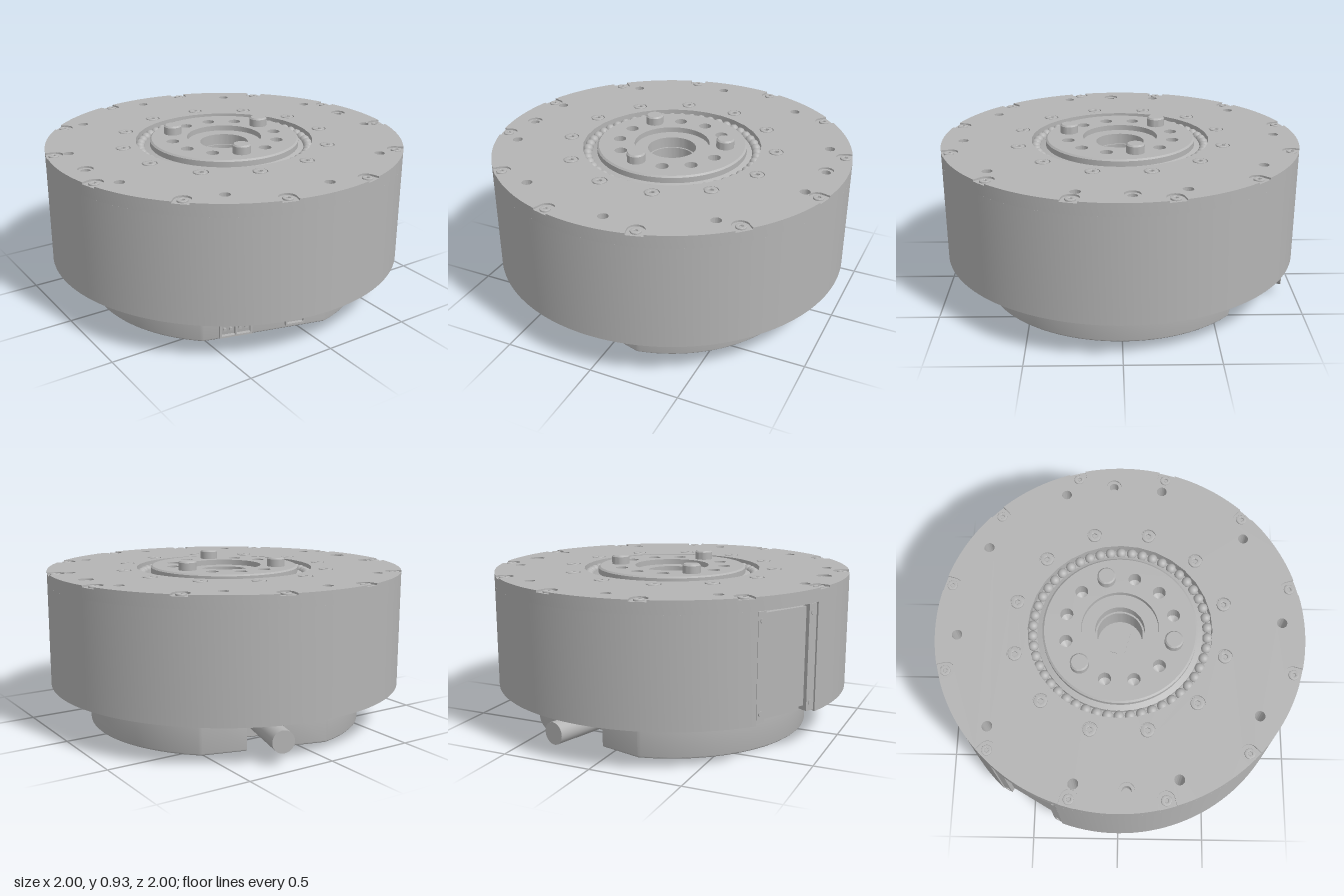
import * as THREE from 'three';
import { toCreasedNormals } from 'three/addons/utils/BufferGeometryUtils.js';

const steel = new THREE.MeshStandardMaterial({ color: 0xb4b4b4, side: THREE.DoubleSide });
steel.name = 'steel grey';
const rad = THREE.MathUtils.degToRad;
const DRUM_TOP = 0.87;

function add(parent, name, geometry, x = 0, y = 0, z = 0) {
  const mesh = new THREE.Mesh(geometry, steel);
  mesh.name = name;
  mesh.position.set(x, y, z);
  parent.add(mesh);
  return mesh;
}
// plan position (x, z) from an angle in degrees, radial distance and sideways offset
function at(deg, radial, side = 0) {
  const c = Math.cos(rad(deg)), s = Math.sin(rad(deg));
  return [c * radial - s * side, s * radial + c * side];
}
function hole(shape, x, z, r) {
  shape.holes.push(new THREE.Path().absarc(x, z, r, 0, Math.PI * 2, true));
}
function disc(r) {
  return new THREE.Shape().absarc(0, 0, r, 0, Math.PI * 2, false);
}
// horizontal slab from a plan outline drawn in x, z
function slab(shape, top, depth, segments = 48, bevel = 0) {
  const g = new THREE.ExtrudeGeometry(shape, {
    depth: depth - 2 * bevel, curveSegments: segments, bevelEnabled: bevel > 0,
    bevelSize: bevel, bevelOffset: -bevel, bevelThickness: bevel, bevelSegments: 3,
  });
  g.rotateX(Math.PI / 2).translate(0, top - bevel, 0);
  return toCreasedNormals(g, rad(30));
}
function lathe(points, segments = 96) {
  const g = new THREE.LatheGeometry(points.map((p) => new THREE.Vector2(...p)), segments);
  return toCreasedNormals(g, rad(30));
}
// screw head with a hexagonal socket, its top at y = 0
function screwHead(r) {
  const shape = disc(r);
  const hex = [];
  for (let i = 0; i < 6; i++) hex.push(new THREE.Vector2(...at(-60 * i, r * 0.42)));
  shape.holes.push(new THREE.Path(hex));
  return slab(shape, 0, 0.02, 12, 0.003);
}
const twelve = Array.from({ length: 12 }, (_, i) => 15 + 30 * i);
const throughHoles = Array.from({ length: 10 }, (_, i) => 15 + 36 * i);
const DOWELS = [-3, 177];
const PINS = [-15, 105, 225];
const POCKET = 210;

function buildDrum(root) {
  const drum = new THREE.Group();
  drum.name = 'drum';
  root.add(drum);
  const drill = (shape) => {
    hole(shape, 0, 0, 0.5);
    throughHoles.forEach((a) => hole(shape, ...at(a, 0.88), 0.028));
    return shape;
  };
  // lower body with a pocket cut in its side
  const body = new THREE.Shape();
  body.absarc(0, 0, 1, rad(POCKET + 11.5), rad(POCKET + 348.5), false);
  body.lineTo(...at(POCKET, 0.92, -0.199));
  body.lineTo(...at(POCKET, 0.92, 0.199));
  add(drum, 'drumBody', slab(drill(body), 0.8, 0.575, 64));
  // upper body
  const upper = drill(disc(1));
  DOWELS.forEach((a) => hole(upper, ...at(a, 0.88), 0.025));
  add(drum, 'drumUpper', slab(upper, 0.86, 0.06, 64));
  // top cover, notched around the rim screws
  const cover = new THREE.Shape();
  const w = 0.045, notch = Math.asin(w);
  twelve.forEach((deg) => {
    const a = rad(deg);
    cover.absarc(0, 0, 1, a - rad(30) + notch, a - notch, false);
    cover.absarc(...at(deg, 0.955), w, a - Math.PI / 2, a - Math.PI * 1.5, true);
  });
  drill(cover);
  twelve.forEach((a) => hole(cover, ...at(a, 0.583), 0.042));
  DOWELS.forEach((a) => hole(cover, ...at(a, 0.88), 0.042));
  add(drum, 'topCover', slab(cover, DRUM_TOP, 0.01, 16));

  const rimHead = screwHead(0.028), innerHead = screwHead(0.036);
  twelve.forEach((a) => {
    const [x, z] = at(a, 0.96), [u, v] = at(a, 0.583);
    add(drum, 'rimScrew', rimHead, x, 0.869, z);
    add(drum, 'innerScrew', innerHead, u, 0.873, v);
  });

  // side cover held by two screwed strips
  const side = new THREE.Group();
  side.name = 'sideCover';
  side.rotation.y = -rad(POCKET);
  drum.add(side);
  add(side, 'coverPlate', new THREE.BoxGeometry(0.03, 0.52, 0.29), 0.938, 0.52, 0);
  for (const s of [-1, 1]) {
    add(side, 'coverStrip', new THREE.BoxGeometry(0.055, 0.56, 0.05), 0.948, 0.515, s * 0.168);
    for (const y of [0.28, 0.75]) {
      const g = new THREE.CylinderGeometry(0.014, 0.014, 0.008, 20).rotateZ(Math.PI / 2);
      add(side, 'stripScrew', g, 0.977, y, s * 0.168);
    }
  }
}

function buildRotor(root) {
  const rotor = new THREE.Group();
  rotor.name = 'rotor';
  root.add(rotor);
  add(rotor, 'rotorRim', lathe([[0.45, 0.3], [0.45, 0.832], [0.42, 0.842], [0.42, 0.872], [0.41, 0.88]]));
  add(rotor, 'hubBore', lathe([[0.21, 0.88], [0.21, 0.85], [0.135, 0.85], [0.135, 0.79],
    [0.125, 0.79], [0.125, 0.66], [0, 0.66]]));
  const label = add(rotor, 'borePlate', new THREE.BoxGeometry(0.135, 0.006, 0.085), 0, 0.663, 0);
  label.rotation.y = -rad(15);
  // drilled face plate with conical hole bottoms
  const face = disc(0.41);
  hole(face, 0, 0, 0.21);
  const drilled = twelve.filter((a) => !PINS.includes(a));
  drilled.forEach((a) => hole(face, ...at(a, 0.3), 0.035));
  add(rotor, 'facePlate', slab(face, 0.88, 0.08));
  const tip = lathe([[0.035, 0.8], [0, 0.775]], 32);
  drilled.forEach((a) => {
    const [x, z] = at(a, 0.3);
    add(rotor, 'holeBottom', tip, x, 0, z);
  });
  // locating pins
  const pin = lathe([[0.05, 0.8], [0.05, 0.922], [0.042, 0.93], [0, 0.93]], 32);
  PINS.forEach((a) => {
    const [x, z] = at(a, 0.3);
    add(rotor, 'locatingPin', pin, x, 0, z);
  });
  // bearing race and balls
  add(rotor, 'bearingRace', lathe([[0.5, 0.805], [0.45, 0.805]]));
  const ball = new THREE.SphereGeometry(0.028, 16, 10);
  for (let i = 0; i < 50; i++) {
    const [x, z] = at(i * 7.2, 0.476);
    add(rotor, 'bearingBall', ball, x, 0.828, z);
  }
}

function buildBase(root) {
  const base = new THREE.Group();
  base.name = 'base';
  base.rotation.y = -rad(15);
  root.add(base);
  // round foot with front and back flats and a cable notch
  const R = 0.78, flat = 0.7, a = Math.asin(flat / R);
  const foot = new THREE.Shape();
  foot.absarc(0, 0, R, -a, a, false);
  foot.absarc(0, 0, R, Math.PI - a, Math.PI + a, false);
  [[-0.1, -flat], [-0.1, -0.5], [0.1, -0.5], [0.1, -flat]].forEach((p) => foot.lineTo(...p));
  const screws = [-16, 16, 153, 207];
  screws.forEach((d) => hole(foot, ...at(d, 0.72), 0.026));
  add(base, 'foot', slab(foot, 0.24, 0.24, 48, 0.012));
  const head = screwHead(0.025).rotateX(Math.PI);
  screws.forEach((d) => {
    const [x, z] = at(d, 0.72);
    add(base, 'footScrew', head, x, 0.01, z);
  });

  // cable and its clamp
  const cable = new THREE.CylinderGeometry(0.06, 0.06, 0.5, 40).rotateX(Math.PI / 2);
  add(base, 'cable', cable, 0, 0.125, -0.705);
  add(base, 'cableClamp', new THREE.BoxGeometry(0.17, 0.12, 0.1), 0, 0.1, -0.54);

  // front panel with lip
  add(base, 'frontPanel', new THREE.BoxGeometry(0.6, 0.11, 0.012), 0, 0.17, 0.7);
  add(base, 'panelLip', new THREE.BoxGeometry(0.6, 0.014, 0.02), 0, 0.112, 0.7);
  // sockets: open frame with contact pins
  const socket = (x, width, cells, bottom) => {
    const h = 0.1 - bottom, wall = 0.01, cell = (width - wall) / cells;
    const frame = new THREE.Shape([[0, 0], [width, 0], [width, h], [0, h]].map((p) => new THREE.Vector2(...p)));
    for (let i = 0; i < cells; i++) {
      const l = wall + i * cell, r = (i + 1) * cell;
      frame.holes.push(new THREE.Path([[l, wall], [l, h - wall], [r, h - wall], [r, wall]]
        .map((p) => new THREE.Vector2(...p))));
      for (const s of [-0.2, 0.2]) {
        const pin = new THREE.CylinderGeometry(0.009, 0.009, 0.02, 12).rotateX(Math.PI / 2);
        add(base, 'contactPin', pin, x + (l + r) / 2 + s * cell, bottom + h / 2, 0.704);
      }
    }
    const g = new THREE.ExtrudeGeometry(frame, { depth: 0.03, bevelEnabled: false });
    add(base, 'socketFrame', g, x, bottom, 0.69);
  };
  socket(-0.26, 0.18, 2, 0.015);
  socket(0.11, 0.11, 1, 0.025);
}

export function createModel() {
  const root = new THREE.Group();
  root.name = 'rotaryActuator';
  buildDrum(root);
  buildRotor(root);
  buildBase(root);
  return root;
}
